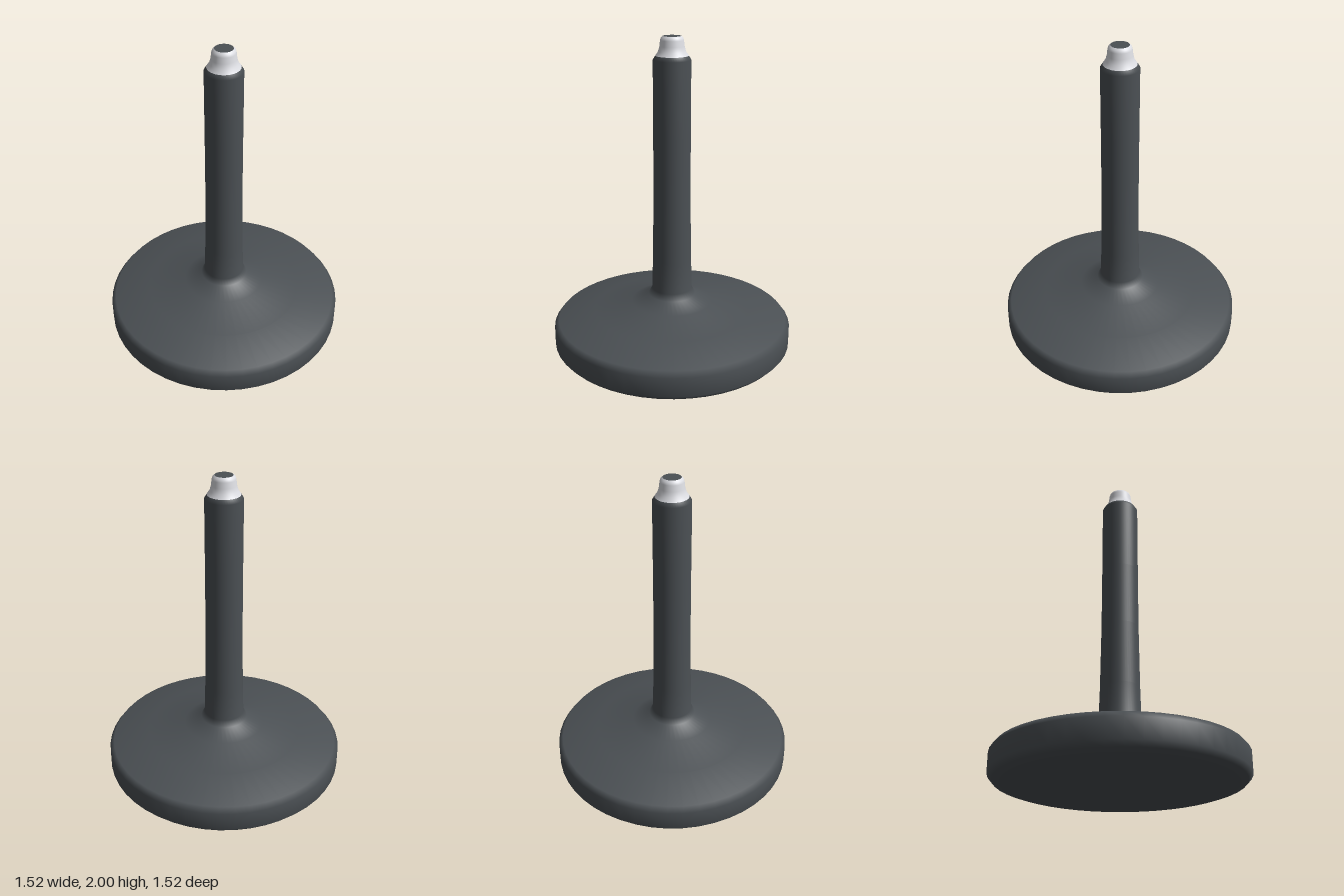
import * as THREE from 'three';

const SEGMENTS = 48;

// Smooth turned part from [radius, height] pairs, listed bottom to top
function turned(name, profile, material) {
  const points = profile.map(([r, y]) => new THREE.Vector2(r, y));
  const mesh = new THREE.Mesh(new THREE.LatheGeometry(points, SEGMENTS), material);
  mesh.name = name;
  return mesh;
}

export function createModel() {
  const group = new THREE.Group();
  group.name = 'weightedStand';

  const darkGrey = new THREE.MeshStandardMaterial({ color: 0x4b5054 });
  darkGrey.name = 'dark grey';
  const paleGrey = new THREE.MeshStandardMaterial({ color: 0xdcdde2 });
  paleGrey.name = 'pale grey';

  // Flat underside of the foot
  group.add(turned('underside', [[0, 0], [0.69, 0]], darkGrey));

  // Heavy round foot, sloping up and flaring into the shaft
  group.add(turned('baseAndShaft', [
    [0.69, 0], [0.735, 0.015], [0.762, 0.045], [0.762, 0.165], [0.735, 0.2],
    [0.5, 0.252], [0.26, 0.307], [0.15, 0.355], [0.128, 0.395],
    [0.122, 0.6], [0.116, 1.0], [0.115, 1.4], [0.115, 1.86], [0.1, 1.885],
  ], darkGrey));

  // Pale stepped collar
  group.add(turned('collar', [
    [0.1, 1.885], [0.083, 1.91], [0.075, 1.94], [0.071, 1.975], [0.066, 1.99], [0.055, 2],
  ], paleGrey));

  // Dark disc closing the tip
  group.add(turned('tipCap', [[0.055, 2], [0, 2]], darkGrey));

  return group;
}
